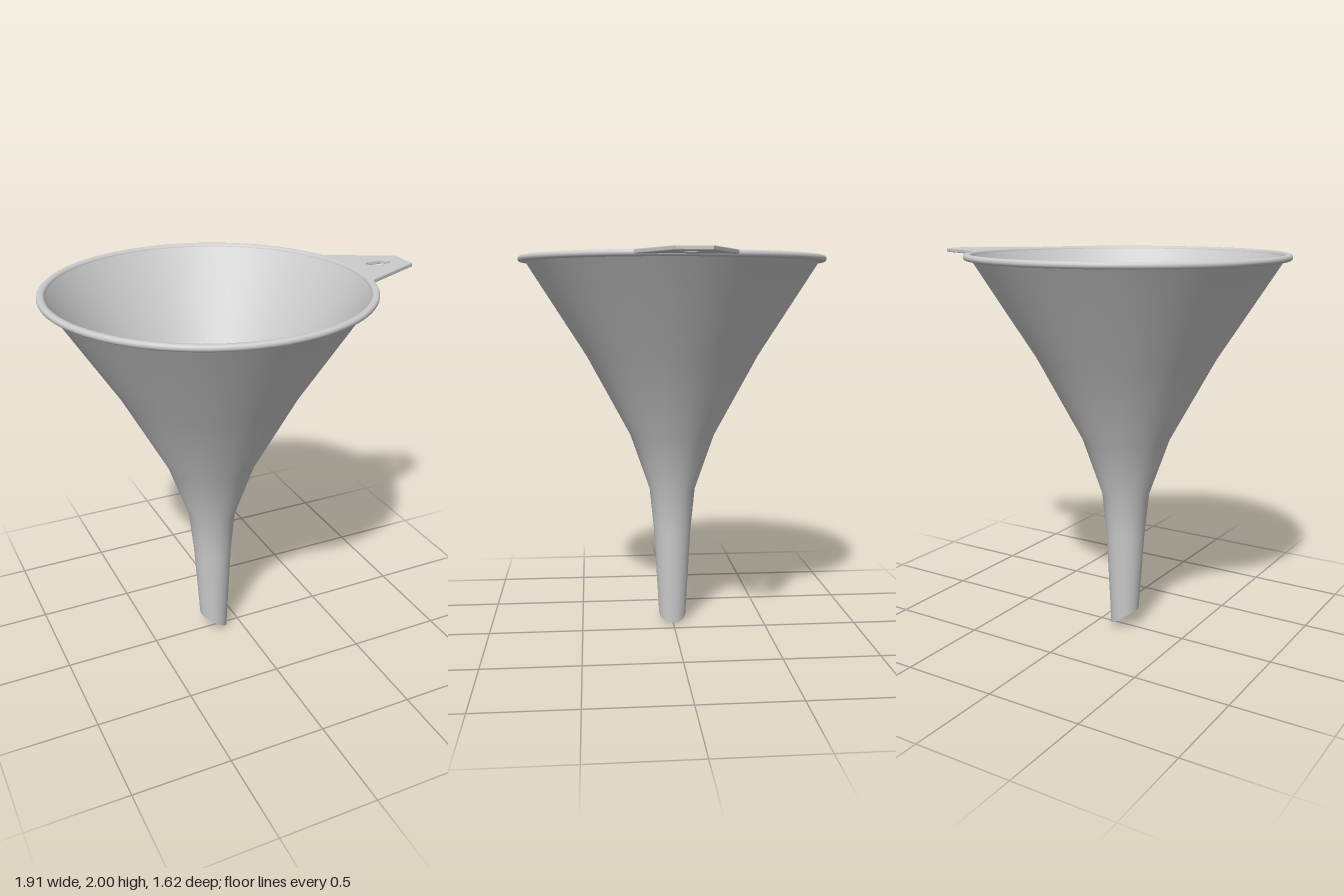
import * as THREE from 'three';

const CENTER_X = -0.15;
const SEGMENTS = 96;

export function createModel() {
  const model = new THREE.Group();
  model.name = 'funnel';
  const material = new THREE.MeshStandardMaterial({ color: 0xcccccc, side: THREE.DoubleSide });

  const add = (name, geometry) => {
    const mesh = new THREE.Mesh(geometry, material);
    mesh.name = name;
    model.add(mesh);
    return mesh;
  };

  // Revolve a [radius, height] profile; points at the tip (y = 0) follow the slanted cut
  const revolve = (name, profile) => {
    const geometry = new THREE.LatheGeometry(profile.map(([r, y]) => new THREE.Vector2(r, y)), SEGMENTS);
    const pos = geometry.attributes.position;
    for (let i = 0; i < pos.count; i++) {
      if (pos.getY(i) === 0) pos.setY(i, 0.05 - (0.05 * pos.getX(i)) / 0.074);
    }
    add(name, geometry).position.x = CENTER_X;
    return geometry;
  };

  // Cone and spout: outer wall, inner wall and the cut lip joining them
  const outer = [[0.074, 0], [0.101, 0.52], [0.124, 0.75], [0.228, 1.05], [0.46, 1.48], [0.775, 1.975]];
  const wall = 0.006;
  const inner = outer.map(([r, y]) => [r - wall, y]).reverse();
  inner[0] = [0.77, 1.985];
  revolve('outerWall', outer);
  revolve('innerWall', inner);
  revolve('spoutLip', [[0.074 - wall, 0], [0.074, 0]]).computeVertexNormals();

  // Rounded rim bead
  const rim = [[0.768, 1.968], [0.795, 1.968]];
  for (let i = 1; i <= 8; i++) {
    const a = -Math.PI / 2 + (Math.PI * i) / 8;
    rim.push([0.795 + 0.015 * Math.cos(a), 1.984 + 0.016 * Math.sin(a)]);
  }
  rim.push([0.782, 1.999], [0.774, 1.994], [0.77, 1.985], [0.768, 1.968]);
  revolve('rim', rim);

  // Tapered hanging tab, its inner edge following the rim
  const tab = new THREE.Shape();
  const angle = Math.asin(0.235 / 0.785);
  tab.moveTo(0.63, -0.235);
  tab.lineTo(0.952, -0.077);
  tab.lineTo(0.952, 0.077);
  tab.lineTo(0.63, 0.235);
  tab.absarc(CENTER_X, 0, 0.785, angle, -angle, true);

  // Rounded hanging slot
  const slot = new THREE.Path();
  slot.moveTo(0.765, -0.036);
  slot.lineTo(0.832, -0.036);
  slot.absarc(0.832, 0, 0.036, -Math.PI / 2, Math.PI / 2, false);
  slot.lineTo(0.765, 0.036);
  slot.absarc(0.765, 0, 0.036, Math.PI / 2, Math.PI * 1.5, false);
  tab.holes.push(slot);

  const tabGeometry = new THREE.ExtrudeGeometry(tab, {
    depth: 0.012, bevelEnabled: true, bevelThickness: 0.004, bevelSize: 0.003, bevelSegments: 2, curveSegments: 16,
  });
  tabGeometry.rotateX(-Math.PI / 2);
  add('hangingTab', tabGeometry).position.y = 1.983;

  return model;
}
